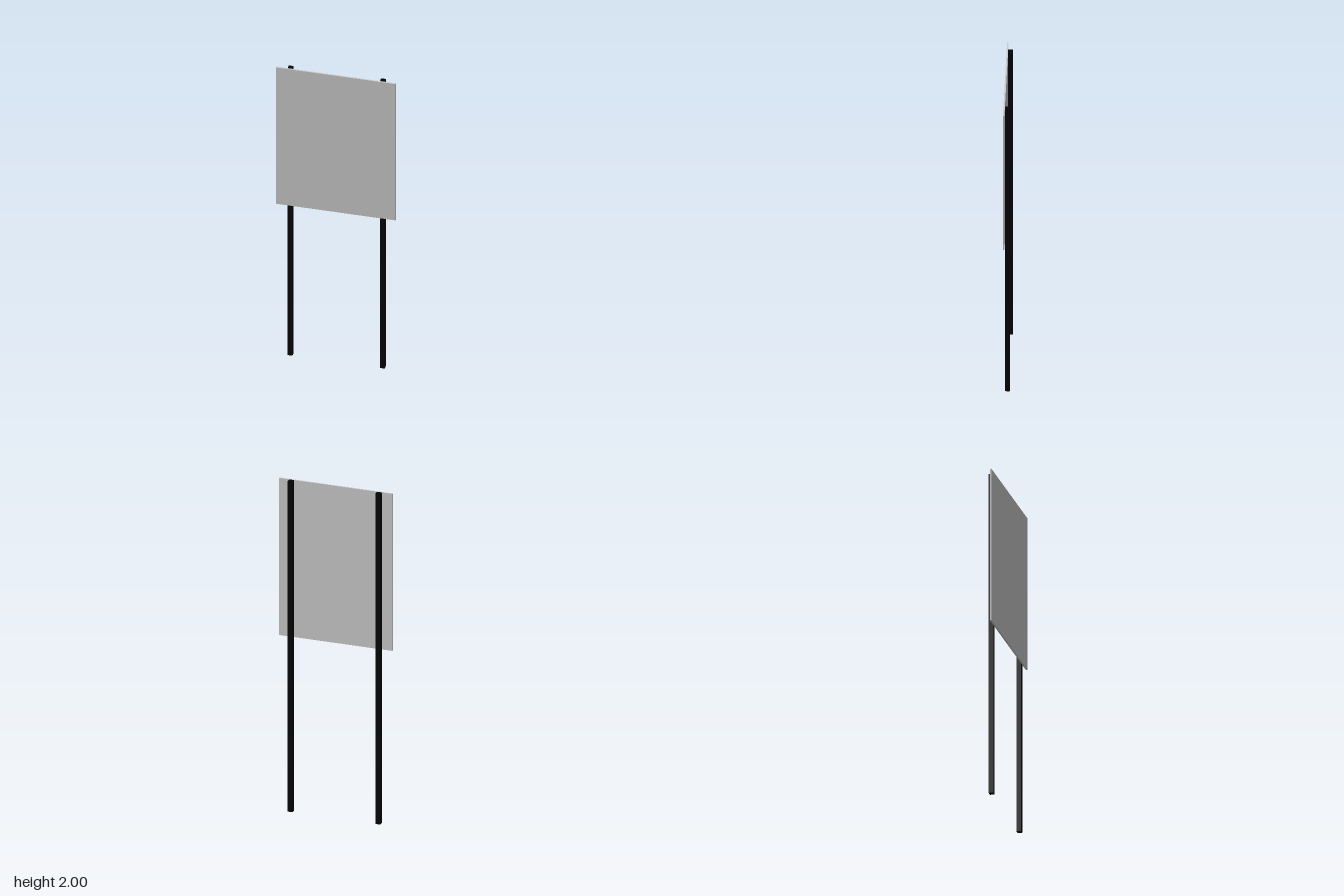
import * as THREE from 'three';

export function createModel() {
  const model = new THREE.Group();
  model.name = 'signBoard';

  const grey = new THREE.MeshStandardMaterial({ color: 0xcccccc });
  const black = new THREE.MeshStandardMaterial({ color: 0x050505 });

  const addBox = (name, size, position, material) => {
    const mesh = new THREE.Mesh(new THREE.BoxGeometry(...size), material);
    mesh.name = name;
    mesh.position.set(...position);
    model.add(mesh);
  };

  // Thin board fixed to the front of the posts
  const top = 2, bottom = 1.05, postFront = 0.0095, thickness = 0.009;
  addBox('panel', [0.698, top - bottom, thickness],
    [0, (top + bottom) / 2, postFront + thickness / 2], grey);

  // Two square posts running the full height
  const post = 0.028;
  for (const [name, side] of [['leftPost', 1], ['rightPost', -1]]) {
    addBox(name, [post, top, post], [side * 0.27, top / 2, postFront - post / 2], black);
  }

  return model;
}
